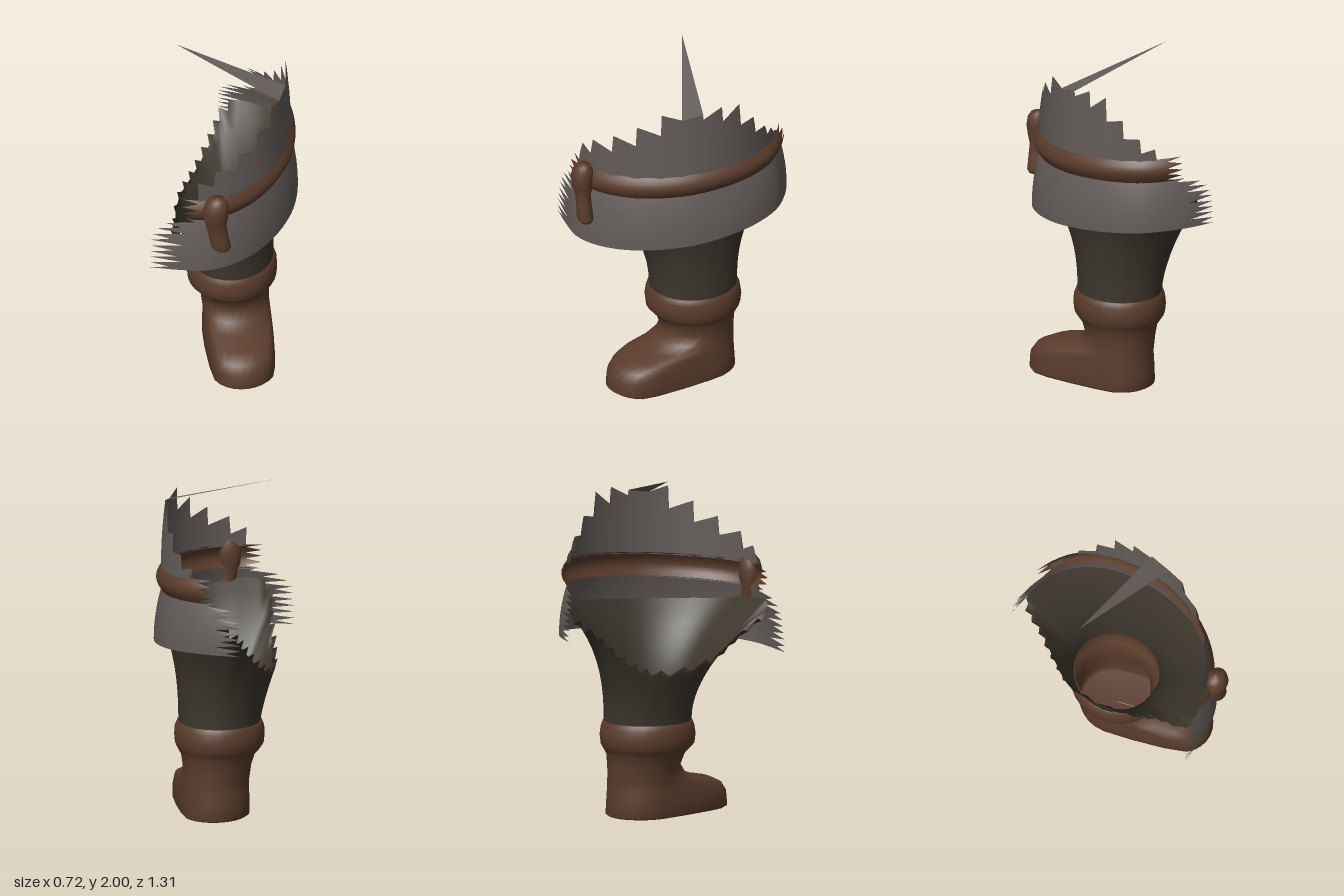
import * as THREE from 'three';

const V = (x, y, z) => new THREE.Vector3(x, y, z);
const lerp = THREE.MathUtils.lerp;
const material = (name, color) => {
  const m = new THREE.MeshStandardMaterial({ color, side: THREE.DoubleSide });
  m.name = name;
  return m;
};

// Skin a list of equally long rows of points, listed from bottom to top.
function skin(rows, closed) {
  const n = rows[0].length, pos = [], idx = [];
  rows.forEach(row => row.forEach(p => pos.push(p.x, p.y, p.z)));
  for (let r = 0; r < rows.length - 1; r++) {
    for (let i = 0; i < (closed ? n : n - 1); i++) {
      const a = r * n + i, b = r * n + (i + 1) % n, c = a + n, d = b + n;
      idx.push(a, c, b, b, c, d);
    }
  }
  const g = new THREE.BufferGeometry();
  g.setAttribute('position', new THREE.Float32BufferAttribute(pos, 3));
  g.setIndex(idx);
  g.computeVertexNormals();
  return g;
}

// Horizontal ellipse; toe pushes the forward half out along the foot.
function ring(y, cx, cz, rx, rz, toe = 0, n = 28) {
  return Array.from({ length: n }, (_, i) => {
    const a = i / n * Math.PI * 2;
    const s = THREE.MathUtils.smoothstep(Math.cos(a - 1.2), -0.25, 0.55) * toe;
    return V(cx + rx * Math.cos(a) + 0.14 * s, y, cz + rz * Math.sin(a) + 0.335 * s);
  });
}

// Plan of the coat, from its back end round the outside to its front end
const plan = new THREE.CatmullRomCurve3([
  [-0.27, -0.655], [-0.12, -0.645], [0.02, -0.605], [0.15, -0.53], [0.26, -0.39], [0.33, -0.22], [0.362, -0.04],
  [0.355, 0.1], [0.32, 0.25], [0.25, 0.4], [0.14, 0.53], [0.02, 0.605], [-0.12, 0.635], [-0.3, 0.655],
].map(([x, z]) => V(x, 0, z)));

// Position along the plan that lies at a given z
function planAtZ(z) {
  let lo = 0, hi = 1;
  for (let i = 0; i < 24; i++) {
    const mid = (lo + hi) / 2;
    if (plan.getPoint(mid).z < z) lo = mid; else hi = mid;
  }
  return lo;
}

const span = (u0, u1, n) => Array.from({ length: n + 1 }, (_, i) => lerp(u0, u1, i / n));
const outward = p => V(p.x + 0.25, 0, p.z).normalize();

// Strip of cloth through the plan positions us; bottom and top give heights,
// inset moves it inward by height fraction, cut draws back the ends of a row.
function strip(us, rows, bottom, top, inset, cut) {
  return skin(span(0, 1, rows).map((v, r) => us.map((u, c) => {
    const p = plan.getPoint(THREE.MathUtils.clamp(u, us[0] + cut(v, r), us[us.length - 1] - cut(v, r)));
    p.addScaledVector(outward(p), -inset(v));
    p.y = lerp(bottom(p.z), top(p.z, c), v);
    return p;
  })), false);
}

export function createModel() {
  const model = new THREE.Group();
  const leather = material('brown leather', 0x5a3c2c);
  const wool = material('dark trouser wool', 0x3c362c);
  const cloth = material('grey coat cloth', 0x635c59);
  const add = (name, geometry, mat) => {
    const m = new THREE.Mesh(geometry, mat);
    m.name = name;
    model.add(m);
  };

  // Boot: sole, stretched toe, shaft and rolled cuff, open at the top
  add('boot', skin([
    [0.005, 0, -0.1, 0.001, 0.001, 0.4], [0.005, 0, -0.1, 0.18, 0.2, 1], [0.018, -0.005, -0.1, 0.195, 0.22, 1],
    [0.1, -0.005, -0.1, 0.195, 0.215, 0.99], [0.15, -0.005, -0.1, 0.192, 0.212, 0.9],
    [0.185, -0.005, -0.1, 0.19, 0.21, 0.7], [0.21, -0.005, -0.1, 0.19, 0.21, 0.36],
    [0.245, -0.01, -0.1, 0.19, 0.21, 0.12], [0.3, -0.012, -0.1, 0.195, 0.212],
    [0.37, -0.016, -0.09, 0.212, 0.228], [0.4, -0.02, -0.085, 0.235, 0.25],
    [0.43, -0.022, -0.08, 0.253, 0.272], [0.48, -0.022, -0.08, 0.258, 0.278],
    [0.53, -0.022, -0.08, 0.255, 0.27], [0.56, -0.022, -0.08, 0.243, 0.258],
    [0.565, -0.022, -0.08, 0.232, 0.25],
  ].map(r => ring(...r)), true), leather);

  // Trouser leg: a flaring funnel, torn open along its inner side
  const rim = new THREE.CatmullRomCurve3([
    [0.335, 1.2, -0.05], [0.3, 1.19, 0.25], [0.19, 1.2, 0.45], [0, 1.23, 0.58], [-0.2, 1.2, 0.59],
    [-0.24, 1.07, 0.4], [-0.3, 0.95, 0.2], [-0.36, 0.91, -0.15], [-0.32, 0.98, -0.31],
    [-0.27, 1.11, -0.46], [-0.22, 1.23, -0.6], [0.02, 1.26, -0.58], [0.24, 1.23, -0.38],
  ].map(p => V(...p)), true);
  const rimPoints = span(0, 1, 64).slice(0, -1).map(t => rim.getPoint(t));
  add('trouserLeg', skin(span(0, 1, 10).map(t => rimPoints.map((p, i) => {
    const a = Math.atan2(p.z + 0.08, p.x + 0.02);
    const f = t ** lerp(2.4, 1.3, Math.max(0, -Math.cos(a)));
    const tear = t === 1 && p.x < -0.16 && i % 2 ? 0.05 : 0;
    return V(lerp(-0.022 + 0.235 * Math.cos(a), p.x, f) + 0.7 * tear, lerp(0.555, p.y, t) - tear,
      lerp(-0.08 + 0.253 * Math.sin(a), p.z, f));
  })), true), wool);

  // Coat skirt below the belt, with frayed ends
  add('coatSkirt', strip(span(0, 1, 48), 18, z => 1.02 - 0.107 * z, z => 1.335 - 0.075 * z,
    v => 0.045 * v * v, (v, r) => 0.09 * v ** 8 + (r % 2) * (0.065 + 0.02 * Math.sin(r * 5))), cloth);

  // Belt, slightly bulging
  add('belt', strip(span(0.1, 0.92, 40), 8, z => 1.328 - 0.075 * z, z => 1.47 - 0.075 * z,
    v => 0.045 - 0.032 * Math.sin(Math.PI * v), (v, r) => (r % 2) * 0.05), leather);

  // Torn coat above the belt: z and height along its saw-toothed upper edge
  const teeth = [
    [-0.57, 1.5], [-0.54, 1.5], [-0.535, 1.565], [-0.49, 1.54], [-0.485, 1.625], [-0.41, 1.62], [-0.405, 1.73],
    [-0.315, 1.71], [-0.31, 1.855], [-0.205, 1.77], [-0.2, 1.87], [-0.085, 1.81], [-0.08, 1.84], [0.045, 1.82],
    [0.165, 1.855], [0.17, 1.72], [0.305, 1.765], [0.31, 1.64], [0.43, 1.68], [0.435, 1.57],
    [0.53, 1.605], [0.535, 1.5], [0.572, 1.535],
  ];
  const torn = strip(teeth.map(([z]) => planAtZ(z * 1.08)), 5, z => 1.46 - 0.075 * z, (z, c) => teeth[c][1],
    v => 0.04 + 0.025 * v * v, () => 0);
  const point = V(0, 0, 0);
  for (let i = 0; i < torn.attributes.position.count; i++) {
    const n = outward(point.fromBufferAttribute(torn.attributes.position, i));
    torn.attributes.normal.setXYZ(i, n.x, n.y, n.z);
  }
  add('tornCoat', torn, cloth);

  // Long loose shred at the top
  add('looseShred', skin([
    [V(0.295, 1.82, 0.045), V(0.295, 1.84, -0.08)],
    [V(-0.35, 2, -0.08), V(-0.35, 2, -0.081)],
  ], false), cloth);

  // Belt knot with its hanging tongue
  add('beltTab', skin([
    [1.1, 0.1, 0.565, 0.001, 0.001], [1.1, 0.1, 0.565, 0.045, 0.035], [1.12, 0.097, 0.568, 0.057, 0.05],
    [1.2, 0.083, 0.575, 0.058, 0.045], [1.27, 0.07, 0.578, 0.06, 0.045], [1.32, 0.068, 0.58, 0.07, 0.06],
    [1.38, 0.07, 0.583, 0.075, 0.066], [1.43, 0.074, 0.58, 0.066, 0.058], [1.46, 0.077, 0.576, 0.045, 0.04],
    [1.47, 0.078, 0.575, 0.001, 0.001],
  ].map(r => ring(...r, 0, 16)), true), leather);

  return model;
}
